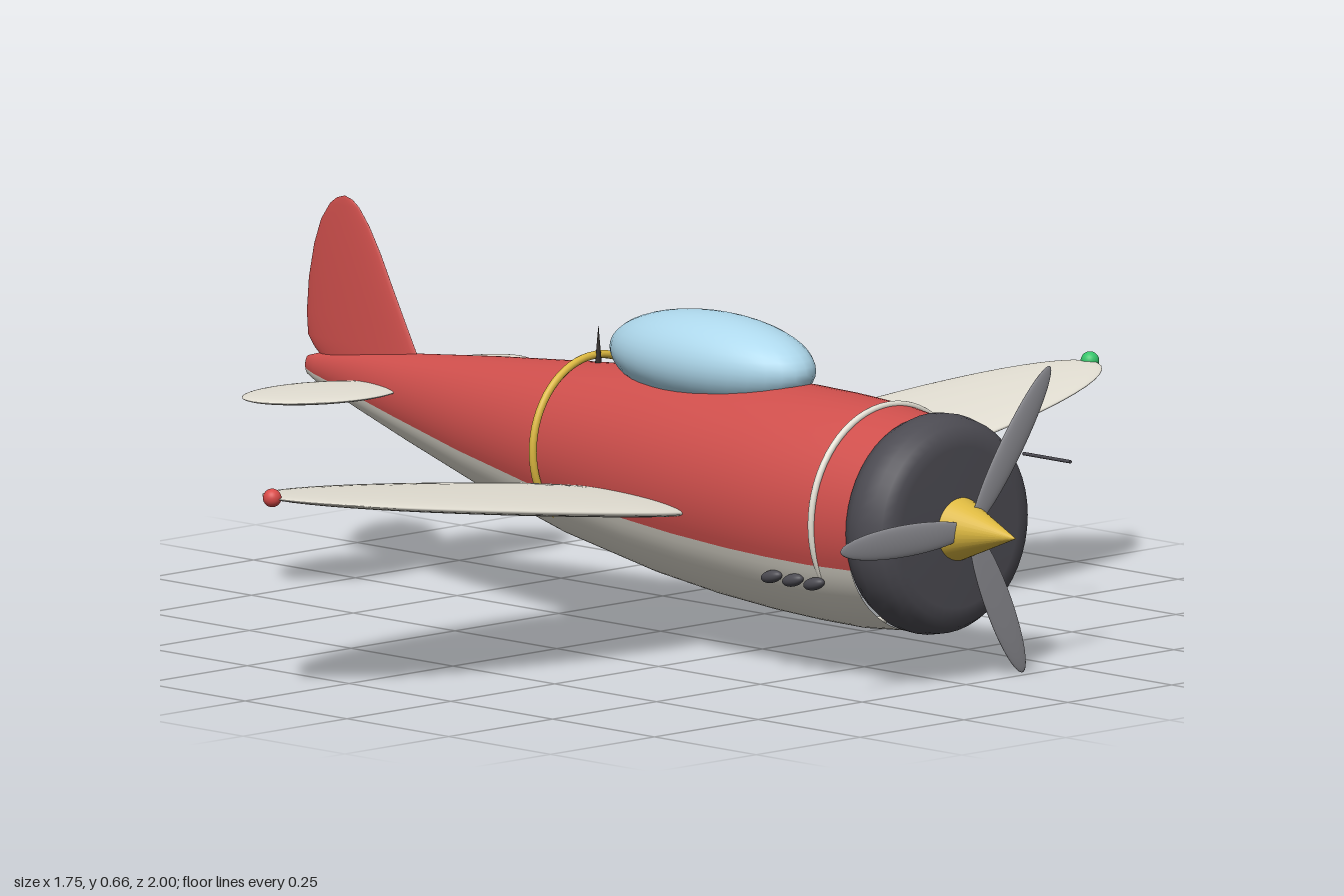
import * as THREE from 'three';

const mat = (color) => new THREE.MeshStandardMaterial({ color });
const red = mat(0xcf4f4c), cream = mat(0xe4e0d4), dark = mat(0x4c4b52), steel = mat(0x96969c);
const gold = mat(0xdcb840), glass = mat(0xaed8ec), black = mat(0x2e2a28);
const portRed = mat(0xd84a48), green = mat(0x35c46a);

// Skin through rings of points: at(section, angle) gives [x, y, z]
function loft(sections, at, a0, a1, n) {
  const pos = [], idx = [], row = n + 1;
  sections.forEach((s, i) => {
    for (let j = 0; j <= n; j++) {
      pos.push(...at(s, a0 + (a1 - a0) * j / n));
      if (i && j) {
        const d = i * row + j, c = d - 1, b = d - row, a = b - 1;
        idx.push(a, c, d, a, d, b);
      }
    }
  });
  const g = new THREE.BufferGeometry();
  g.setAttribute('position', new THREE.Float32BufferAttribute(pos, 3));
  g.setIndex(idx);
  g.computeVertexNormals();
  return g;
}

// Egg-shaped flat surface reaching out to one side, rising by slope
function panel(side, chord, thick, outer, inner, slope) {
  const g = new THREE.SphereGeometry(1, 48, 32).rotateX(Math.PI / 2);
  const p = g.attributes.position;
  for (let i = 0; i < p.count; i++) {
    const z = p.getZ(i) * (p.getZ(i) * side > 0 ? outer : inner);
    p.setXYZ(i, p.getX(i) * chord, p.getY(i) * thick + z * side * slope, z);
  }
  g.computeVertexNormals();
  return g;
}

export function createModel() {
  const model = new THREE.Group();
  const add = (name, geometry, material, x = 0, y = 0, z = 0, parent = model) => {
    const m = new THREE.Mesh(geometry, material);
    m.name = name;
    m.position.set(x, y, z);
    parent.add(m);
    return m;
  };
  const ball = (rx, ry, rz) => new THREE.SphereGeometry(1, 32, 24).scale(rx, ry, rz);

  // Fuselage sections: x, top, bottom, half width
  const body = [
    [-0.872, 0.37, 0.362, 0.002], [-0.865, 0.383, 0.35, 0.008], [-0.84, 0.39, 0.338, 0.014],
    [-0.72, 0.406, 0.3, 0.036], [-0.6, 0.418, 0.263, 0.058], [-0.41, 0.437, 0.208, 0.094],
    [-0.18, 0.456, 0.153, 0.135], [0.05, 0.474, 0.114, 0.166], [0.2, 0.48, 0.097, 0.181],
    [0.34, 0.481, 0.087, 0.19], [0.44, 0.479, 0.083, 0.191], [0.54, 0.474, 0.082, 0.187],
    [0.64, 0.462, 0.09, 0.18],
  ];
  const ring = ([x, t, b, w], a) => [x, (t + b) / 2 + (t - b) / 2 * Math.sin(a), w * Math.cos(a)];
  const split = 0.34;
  add('fuselageTop', loft(body, ring, -split, Math.PI + split, 48), red);
  add('fuselageBelly', loft(body, ring, Math.PI + split, 2 * Math.PI - split, 32), cream);

  // Tail fin sections: y, rear x, front x, half thickness
  const fin = [
    [0.36, -0.8, -0.56, 0.012], [0.4, -0.85, -0.588, 0.012], [0.42, -0.866, -0.6, 0.012],
    [0.46, -0.869, -0.622, 0.011], [0.52, -0.864, -0.655, 0.01], [0.58, -0.851, -0.687, 0.008],
    [0.625, -0.834, -0.715, 0.006], [0.655, -0.812, -0.74, 0.004], [0.667, -0.795, -0.757, 0.003],
    [0.672, -0.777, -0.775, 0.001],
  ];
  add('tailFin', loft(fin, ([y, r, f, t], a) =>
    [(r + f) / 2 + (f - r) / 2 * Math.cos(a), y, t * Math.sin(a)], 0, 2 * Math.PI, 32), red);

  // Canopy
  add('canopy', ball(0.23, 0.082, 0.106), glass, 0.128, 0.5, 0);

  // Paired parts
  for (const s of [1, -1]) {
    const side = s > 0 ? 'Right' : 'Left';
    add('wing' + side, panel(s, 0.199, 0.018, 0.705, 0.3, 0.125), cream, 0.052, 0.278, s * 0.28);
    add('tailplane' + side, panel(s, 0.095, 0.01, 0.165, 0.165, 0.03), cream, -0.672, 0.36, s * 0.16);
    add('wingTipLight' + side, ball(0.016, 0.016, 0.016), s > 0 ? portRed : green, 0.05, 0.367, s * 0.984);
    for (let i = 0; i < 3; i++) {
      const e = add('exhaust' + side, ball(0.024, 0.011, 0.012), dark, 0.446 + i * 0.052, 0.18, s * 0.17);
      e.rotation.z = 0.25;
    }
  }

  // Bands around the body
  const band = (r, t) => new THREE.TorusGeometry(r, t, 12, 64).rotateY(Math.PI / 2);
  add('tailBand', band(0.151, 0.007), gold, -0.16, 0.32, 0);
  add('noseBand', band(0.187, 0.006), cream, 0.56, 0.286, 0);

  // Engine cowl and spinner
  const profile = [[0, 0.63], [0.168, 0.63], [0.182, 0.64], [0.191, 0.66], [0.192, 0.68],
    [0.187, 0.705], [0.176, 0.722], [0.16, 0.732], [0.14, 0.735], [0, 0.737]]
    .map(([r, h]) => new THREE.Vector2(r, h));
  add('cowl', new THREE.LatheGeometry(profile, 48).rotateZ(-Math.PI / 2), dark, 0, 0.28, 0);
  add('spinner', new THREE.ConeGeometry(0.056, 0.14, 32).rotateZ(-Math.PI / 2), gold, 0.803, 0.278, 0);

  // Propeller
  const propeller = new THREE.Group();
  propeller.name = 'propeller';
  propeller.position.set(0.763, 0.28, 0);
  propeller.rotation.z = -0.12;
  model.add(propeller);
  for (let i = 0; i < 3; i++) {
    const g = ball(0.005, 0.029, 0.155).translate(0, 0, 0.16).rotateX(i * 2 * Math.PI / 3);
    add('propellerBlade', g, steel, 0, 0, 0, propeller);
  }

  // Aerial and air speed probe
  add('aerial', new THREE.ConeGeometry(0.007, 0.08, 12), black, -0.153, 0.485, 0);
  add('airProbe', new THREE.CylinderGeometry(0.003, 0.003, 0.116, 10).rotateZ(Math.PI / 2), dark, 0.308, 0.273, -0.628);

  return model;
}
